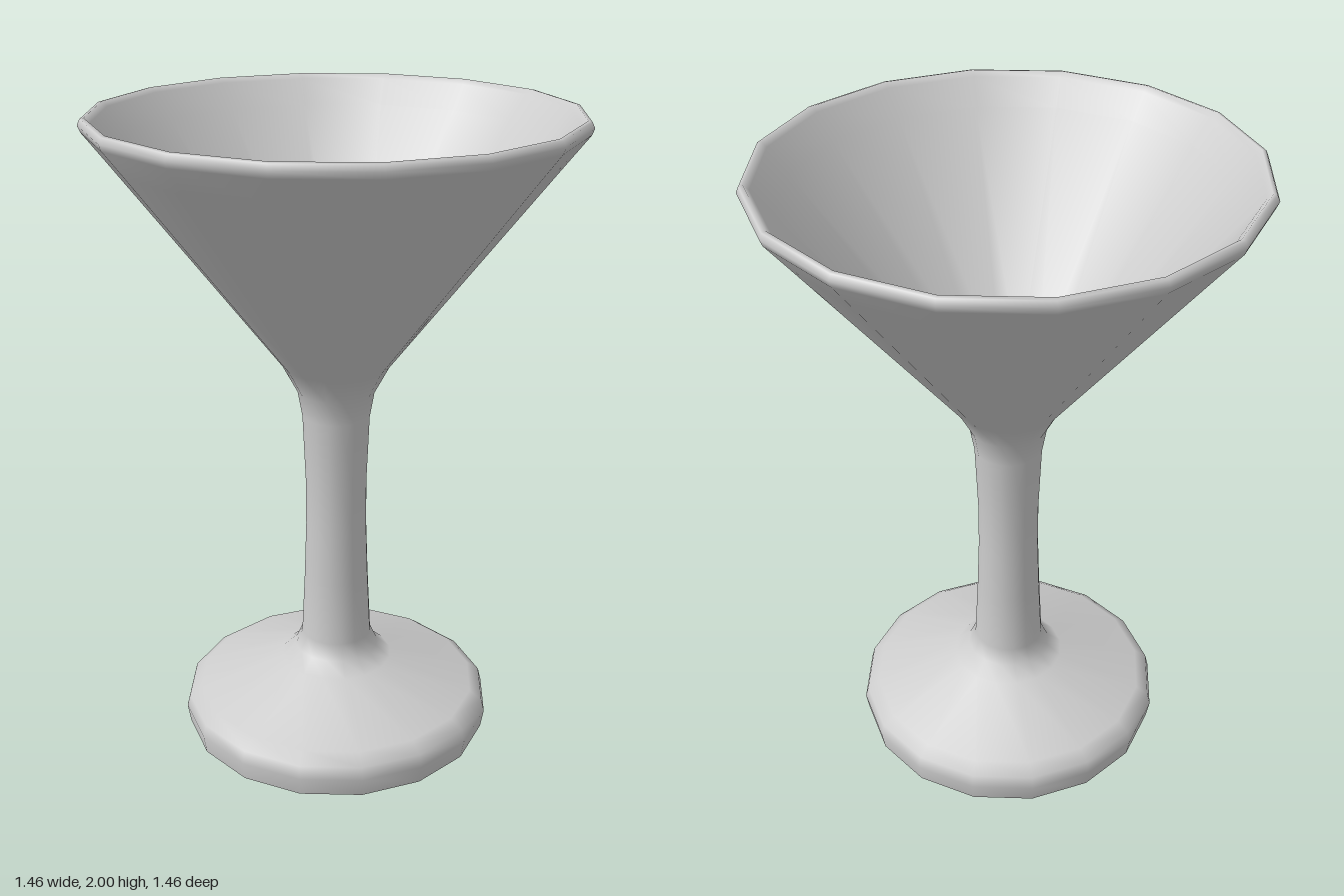
import * as THREE from 'three';

const SIDES = 16;

export function createModel() {
  const group = new THREE.Group();
  group.name = 'cocktailGlass';
  const glass = new THREE.MeshStandardMaterial({ color: 0xcccccc });
  glass.name = 'pale grey';

  // Each profile lists [radius, height] pairs, outside surface going upward
  const addTurned = (name, profile) => {
    const points = profile.map(([r, y]) => new THREE.Vector2(r, y));
    const mesh = new THREE.Mesh(new THREE.LatheGeometry(points, SIDES), glass);
    mesh.name = name;
    group.add(mesh);
  };

  // Foot, stem and bowl in one smooth surface, over the rim and down inside
  addTurned('glassBody', [
    [0.49, 0], [0.5, 0.06], [0.49, 0.1], [0.45, 0.13],
    [0.18, 0.22], [0.135, 0.26], [0.113, 0.31],
    [0.103, 0.52], [0.097, 0.7], [0.097, 0.85], [0.106, 1.07],
    [0.12, 1.15], [0.165, 1.235],
    [0.66, 1.88], [0.722, 1.96], [0.73, 1.98], [0.722, 1.997], [0.71, 2.0],
    [0.695, 1.985], [0.64, 1.91], [0.145, 1.265], [0.11, 1.235], [0, 1.22],
  ]);

  // Flat underside of the foot
  addTurned('footUnderside', [[0, 0], [0.49, 0]]);

  return group;
}
